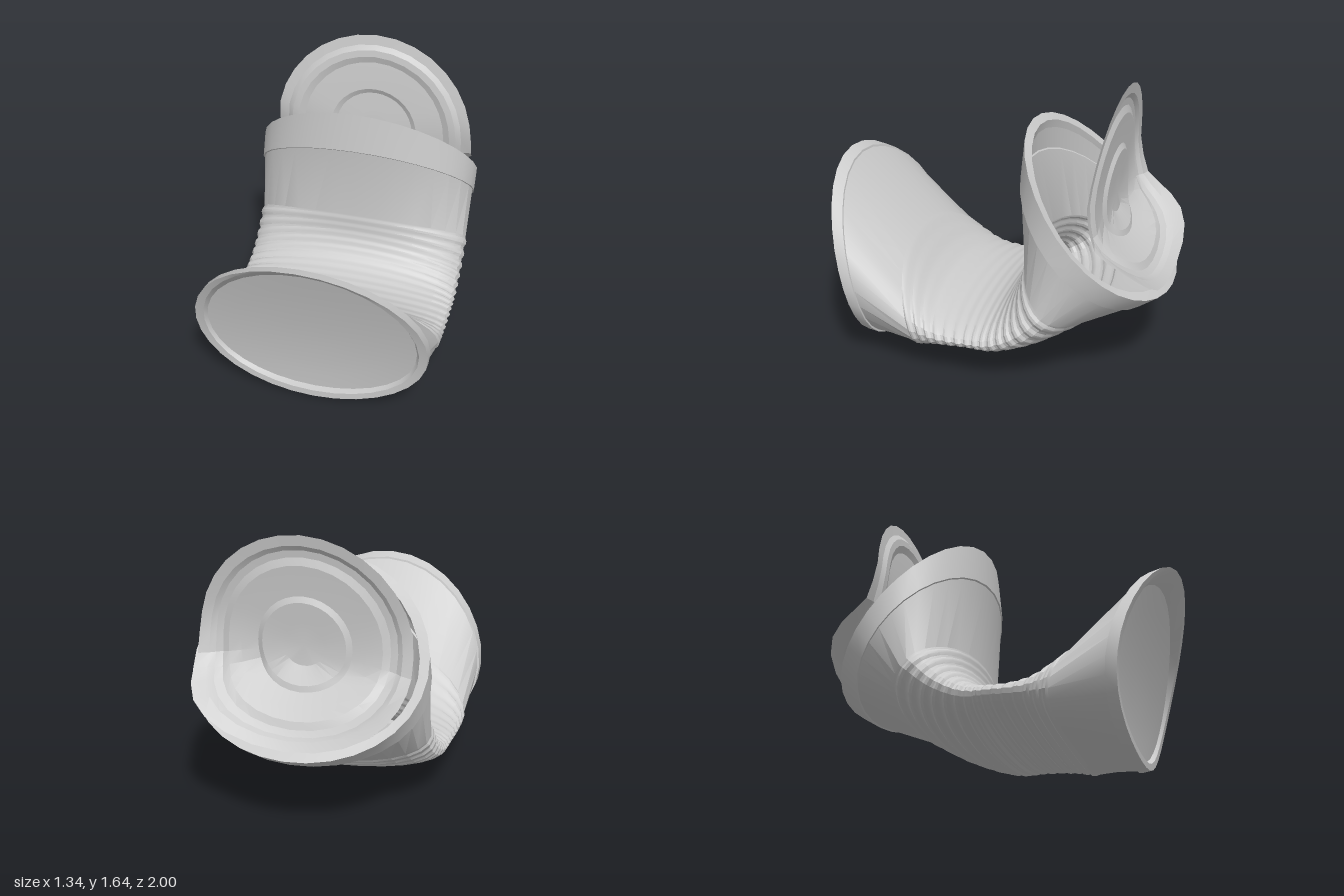
import * as THREE from 'three';
import { toCreasedNormals } from 'three/addons/utils/BufferGeometryUtils.js';

const SEG = 32;
const HALF = 0.66;

// A bent ring: top, side and bottom points given as [z, y], plus its half width.
const station = (top, side, bottom, w = HALF) => ({ top, side, bottom, w });

// Points of a ring; k shrinks it along its own curved surface.
function ring({ top, side, bottom, w }, k = 1) {
  const pts = [];
  for (let j = 0; j < SEG; j++) {
    const a = (j / SEG) * Math.PI * 2;
    const c = k * Math.cos(a);
    const at = (i) => side[i] + ((top[i] - bottom[i]) / 2) * c + ((top[i] + bottom[i]) / 2 - side[i]) * c * c;
    pts.push([k * w * Math.sin(a), at(1), at(0)]);
  }
  return pts;
}

// Push a ring outwards by d; the top can move less than the rest.
function swell(s, d, topShare = 1) {
  const dz = s.top[0] - s.bottom[0], dy = s.top[1] - s.bottom[1];
  const f = d / Math.hypot(dz, dy);
  const g = f * topShare;
  return station(
    [s.top[0] + dz * g, s.top[1] + dy * g], s.side,
    [s.bottom[0] - dz * f, s.bottom[1] - dy * f], s.w + d);
}

// Skin a list of rings.
function loft(rings, name, crease = 0.5) {
  const index = [];
  for (let i = 0; i < rings.length - 1; i++) {
    for (let j = 0; j < SEG; j++) {
      const n = (j + 1) % SEG;
      const a = i * SEG + j, b = i * SEG + n, c = b + SEG, d = a + SEG;
      index.push(a, b, c, a, c, d);
    }
  }
  const geo = new THREE.BufferGeometry();
  geo.setAttribute('position', new THREE.Float32BufferAttribute(rings.flat(2), 3));
  geo.setIndex(index);
  const mesh = new THREE.Mesh(
    toCreasedNormals(geo, crease),
    new THREE.MeshStandardMaterial({ color: 0xcccccc, side: THREE.DoubleSide }));
  mesh.name = name;
  return mesh;
}

export function createModel() {
  const can = new THREE.Group();
  can.name = 'crushedCan';

  // Closed end: nearly flat recessed floor, lip and outer rim
  const floor = station([0.895, 0.995], [0.745, 0.48], [0.68, 0.055], 0.605);
  const lip = station([0.99, 1.08], [0.765, 0.48], [0.72, 0.05], 0.62);
  const rimFront = station([1.0, 1.09], [0.765, 0.48], [0.72, 0.01], 0.67);
  const rimBack = station([0.93, 1.07], [0.70, 0.47], [0.66, 0.0], 0.67);
  const wallFront = swell(rimBack, -0.012);
  can.add(loft([
    ...[0, 0.25, 0.5, 0.75, 1].map((k) => ring(floor, k)),
    ring(lip), ring(rimFront), ring(rimBack), ring(wallFront),
  ], 'closedEnd', 0.4));

  // Crushed ribbed middle, following the bend
  const bend = [
    station([0.56, 0.66], [0.38, 0.28], [0.38, 0.065]),
    station([0.31, 0.425], [0.22, 0.25], [0.21, 0.115]),
    station([0.09, 0.37], [0.04, 0.25], [0.02, 0.135]),
    station([-0.08, 0.415], [-0.10, 0.26], [-0.16, 0.135]),
    station([-0.16, 0.53], [-0.26, 0.34], [-0.40, 0.215]),
    station([-0.18, 0.68], [-0.42, 0.49], [-0.63, 0.345]),
  ];
  const curve = (key) => new THREE.CatmullRomCurve3(bend.map((s) => new THREE.Vector3(0, s[key][1], s[key][0])));
  const [tops, sides, bottoms] = ['top', 'side', 'bottom'].map(curve);
  const ribs = 15;
  const ribbed = [];
  for (let i = 0; i <= ribs * 4; i++) {
    const t = i / (ribs * 4);
    const [p, q, r] = [tops, sides, bottoms].map((c) => {
      const v = c.getPoint(t);
      return [v.z, v.y];
    });
    const raised = i % 4 === 1 || i % 4 === 2;
    ribbed.push(swell(station(p, q, r), raised ? 0.003 : -0.007, 0.35));
  }

  // Smooth walls on both sides of the ribs
  const band = station([-0.13, 1.16], [-0.52, 0.77], [-0.89, 0.42], 0.67);
  const wallBack = swell(band, -0.01);
  can.add(loft([wallFront, ...ribbed, wallBack].map((s) => ring(s)), 'body', 0.4));

  // Open end: raised band and inward lip
  const rimOpen = station([-0.15, 1.395], [-0.58, 0.89], [-1.0, 0.49], 0.67);
  const lipOpen = station([-0.19, 1.36], [-0.58, 0.88], [-0.96, 0.535], 0.615);
  const lipInner = station([-0.18, 1.31], [-0.57, 0.85], [-0.94, 0.52], 0.625);
  can.add(loft([wallBack, band, rimOpen, lipOpen, lipInner].map((s) => ring(s)), 'openRim'));

  // Lid: pressed disc peeled back along a curve from the hinge,
  // its lower half spread wide with the sides curling backwards
  const lidPath = new THREE.CatmullRomCurve3(
    [[-0.985, 0.54], [-0.84, 0.68], [-0.71, 0.8], [-0.645, 0.89], [-0.632, 1.0], [-0.645, 1.2], [-0.665, 1.4], [-0.695, 1.64]]
      .map(([z, y]) => new THREE.Vector3(0, y, z)));
  const R = 0.61;
  const profile = [
    [0, -0.02], [0.12, -0.02], [0.24, -0.02], [0.27, -0.002], [0.37, 0], [0.44, 0],
    [0.48, 0.018], [0.52, 0.018], [0.55, 0.002], [R, 0],
  ];
  const lidRings = profile.map(([r, h]) => {
    const pts = [];
    for (let j = 0; j < SEG; j++) {
      const a = (j / SEG) * Math.PI * 2;
      const u = THREE.MathUtils.clamp(0.5 + (r * Math.cos(a)) / (2 * R), 0, 1);
      const p = lidPath.getPointAt(u), t = lidPath.getTangentAt(u);
      const x = r * Math.sin(a) * (1 + 2 * Math.max(0, 0.5 - u) ** 2);
      const lift = h - 0.16 * (x / R) ** 2 * Math.max(0, 1 - u / 0.6);
      pts.push([x, p.y - t.z * lift, p.z + t.y * lift]);
    }
    return pts;
  });
  can.add(loft(lidRings, 'lid', 0.3));

  return can;
}
